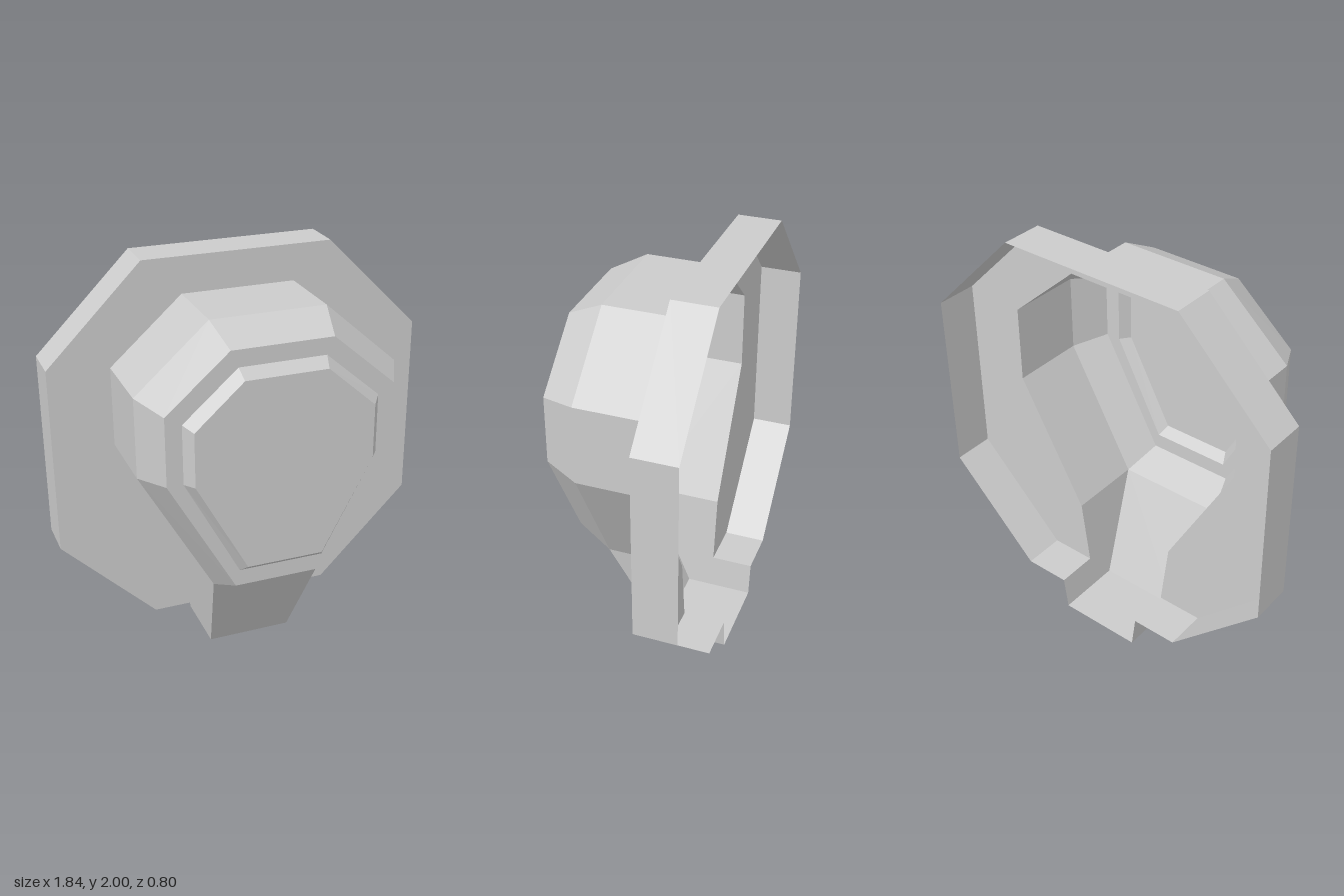
import * as THREE from 'three';

const BACK = -0.4, PLATE = -0.195, SHOULDER = 0.18, FACE = 0.35, CAP = 0.4;
const CHUTE_TOP = 0.5, PLATE_BOTTOM = 0.165;
const chuteHalf = (y) => 0.21 + (0.065 * y) / CHUTE_TOP;

const material = new THREE.MeshStandardMaterial({
  color: 0xcccccc, flatShading: true, side: THREE.DoubleSide,
});

// Right-hand points from bottom to top, mirrored into a counter-clockwise outline
const mirrored = (half) => [...half, ...half.map(([x, y]) => [-x, y]).reverse()];

const part = (name, geometry) => {
  const mesh = new THREE.Mesh(geometry, material);
  mesh.name = name;
  return mesh;
};

// Flat panel facing +z
function panel(name, outline, z, hole) {
  const toPoints = (pts) => pts.map(([x, y]) => new THREE.Vector2(x, y));
  const shape = new THREE.Shape(toPoints(outline));
  if (hole) shape.holes.push(new THREE.Path(toPoints(hole)));
  return part(name, new THREE.ShapeGeometry(shape).translate(0, 0, z));
}

// Geometry from convex polygons given as lists of 3D corners
function polygons(faces) {
  const pos = [];
  for (const f of faces) {
    for (let i = 1; i < f.length - 1; i++) pos.push(...f[0], ...f[i], ...f[i + 1]);
  }
  const g = new THREE.BufferGeometry();
  g.setAttribute('position', new THREE.Float32BufferAttribute(pos, 3));
  g.computeVertexNormals();
  return g;
}

// Wall between two outlines at depths za (rear) and zb (front)
function wall(name, a, za, b, zb, closed = true) {
  const faces = [];
  const n = a.length;
  for (let i = 0; i < (closed ? n : n - 1); i++) {
    const j = (i + 1) % n;
    faces.push([[...a[i], za], [...a[j], za], [...b[j], zb], [...b[i], zb]]);
  }
  return part(name, polygons(faces));
}

export function createModel() {
  const group = new THREE.Group();
  group.name = 'wallHousing';

  const notch = [chuteHalf(PLATE_BOTTOM), PLATE_BOTTOM];
  const octagon = [[0.46, PLATE_BOTTOM], [0.92, 0.625], [0.92, 1.54], [0.46, 2]];
  const body = mirrored([[0.275, CHUTE_TOP], [0.625, 1.13], [0.625, 1.515], [0.275, 1.825]]);
  const faceOuter = mirrored([[0.225, 0.58], [0.54, 1.15], [0.54, 1.48], [0.24, 1.74]]);
  const faceInner = mirrored([[0.205, 0.66], [0.463, 1.15], [0.463, 1.435], [0.205, 1.66]]);
  const cap = mirrored([[0.183, 0.7], [0.425, 1.15], [0.425, 1.41], [0.195, 1.615]]);

  // Open-backed octagonal plate, cut out behind the body and the chute
  const rim = mirrored([notch, ...octagon]);
  group.add(panel('plateFace', [...rim, ...body.slice().reverse()], PLATE));
  group.add(wall('plateRim', rim, BACK, rim, PLATE, false));

  // Hollow body, open at the bottom into the chute
  group.add(wall('bodyWall', body, PLATE, body, SHOULDER, false));
  group.add(wall('bodyBevel', body, SHOULDER, faceOuter, FACE));
  group.add(panel('faceBorder', faceOuter, FACE, faceInner));
  group.add(wall('capBevel', faceInner, FACE, cap, CAP));
  group.add(panel('cap', cap, CAP));

  // Tapered chute: sloping front, floor and two side walls
  const lip = -0.07;
  const side = [
    [0, lip], [0, BACK], [PLATE_BOTTOM, BACK],
    [PLATE_BOTTOM, PLATE], [CHUTE_TOP, PLATE], [CHUTE_TOP, SHOULDER],
  ];
  const at = (s, [y, z]) => [s * chuteHalf(y), y, z];
  const [front, rear, , corner, , top] = side;
  group.add(part('chuteFront', polygons([[at(-1, front), at(1, front), at(1, top), at(-1, top)]])));
  group.add(part('chuteFloor', polygons([[at(-1, rear), at(1, rear), at(1, front), at(-1, front)]])));
  for (const s of [1, -1]) {
    // Fan from the inner corner, which sees every other corner
    const k = side.indexOf(corner);
    const ring = [...side.slice(k), ...side.slice(0, k)].map((p) => at(s, p));
    if (s > 0) ring.reverse().unshift(ring.pop());
    group.add(part(s > 0 ? 'chuteSideLeft' : 'chuteSideRight', polygons([ring])));
  }
  return group;
}
